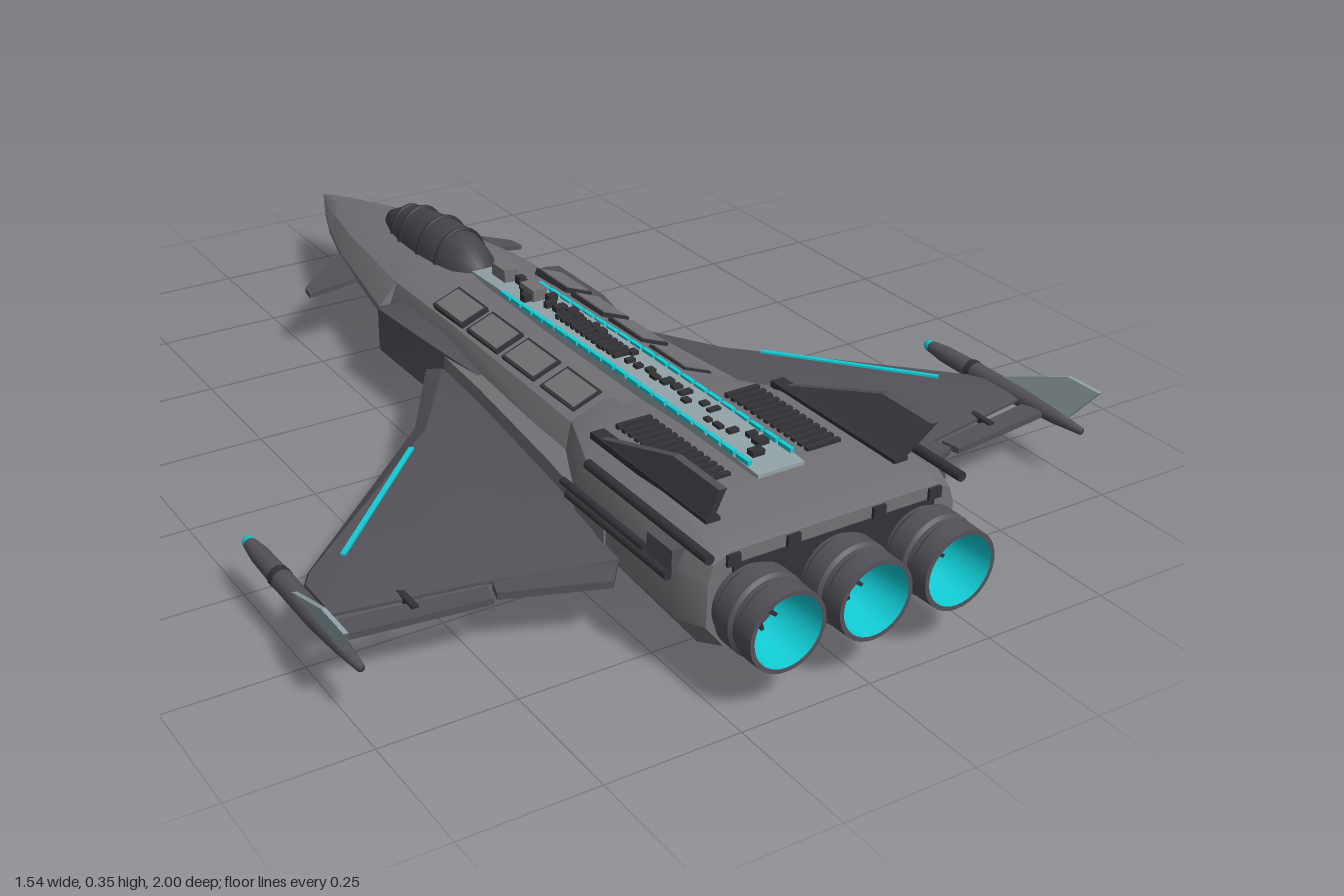
import * as THREE from 'three';
import { toCreasedNormals } from 'three/addons/utils/BufferGeometryUtils.js';

const V = (x, y, z) => new THREE.Vector3(x, y, z);

// Skin over closed rings of [x, y, z]; rings run anticlockwise seen from the far end
function loft(rings, crease = 0.45) {
  const n = rings[0].length, index = [], last = (rings.length - 1) * n;
  for (let i = 0; i < rings.length - 1; i++) {
    for (let j = 0; j < n; j++) {
      const a = i * n + j, b = i * n + (j + 1) % n;
      index.push(a, b, b + n, a, b + n, a + n);
    }
  }
  for (let j = 1; j < n - 1; j++) index.push(0, j + 1, j, last, last + j, last + j + 1);
  const g = new THREE.BufferGeometry();
  g.setAttribute('position', new THREE.Float32BufferAttribute(rings.flat(2), 3));
  g.setIndex(index);
  return toCreasedNormals(g, crease);
}

// Hull ring from half-profile: deck, shoulder, side, belly
function hullRing([z, tw, yt, sw, ys, w, hi, lo, bw, yb]) {
  const half = [[bw, yb], [w, lo], [w, hi], [sw, ys], [tw, yt]];
  return [...half, ...half.map(([x, y]) => [-x, y]).reverse()].map(([x, y]) => [x, y, z]);
}

const boxRing = ([z, x0, x1, y0, y1]) => [[x0, y0, z], [x1, y0, z], [x1, y1, z], [x0, y1, z]];

function extrude(points, depth) {
  const shape = new THREE.Shape(points.map(p => new THREE.Vector2(...p)));
  return new THREE.ExtrudeGeometry(shape, { depth, bevelEnabled: false });
}

// Upright plate from [z, y] points, leaning sideways with height
function finPlate(points, x, y0, lean, t) {
  const g = extrude(points.map(([z, y]) => [z, y - y0]), t);
  const m = new THREE.Matrix4().makeBasis(V(0, 0, 1), V(lean, 1, 0), V(-1, 0, 0));
  return g.applyMatrix4(m.setPosition(x + t / 2, y0, 0));
}

// Level plate from [x, z] points, sloping along its span
function flatPlate(points, y, slope, t) {
  const m = new THREE.Matrix4().makeBasis(V(1, slope, 0), V(0, 0, 1), V(0, -1, 0));
  return extrude(points, t).applyMatrix4(m.setPosition(0, y, 0));
}

const box = (w, h, d, x, y, z) => new THREE.BoxGeometry(w, h, d).translate(x, y, z);
const rod = (r, z0, z1, x, y) =>
  new THREE.CylinderGeometry(r, r, z1 - z0, 10).rotateX(Math.PI / 2).translate(x, y, (z0 + z1) / 2);
// Turned shape along z from [radius, z] points
const turned = (points, seg = 24) =>
  new THREE.LatheGeometry(points.map(p => new THREE.Vector2(...p)), seg).rotateX(Math.PI / 2);

// Copy on the other side, with the corner order restored
function mirrored(geo) {
  const g = geo.index ? geo.toNonIndexed() : geo.clone();
  g.scale(-1, 1, 1);
  for (const key of ['position', 'normal']) {
    const a = g.attributes[key], p = V(0, 0, 0), q = V(0, 0, 0);
    for (let i = 0; i < a.count; i += 3) {
      p.fromBufferAttribute(a, i); q.fromBufferAttribute(a, i + 2);
      a.setXYZ(i, q.x, q.y, q.z); a.setXYZ(i + 2, p.x, p.y, p.z);
    }
  }
  return g;
}

export function createModel() {
  const model = new THREE.Group();
  model.name = 'starfighter';
  const paint = (name, color, side = THREE.FrontSide) => {
    const m = new THREE.MeshStandardMaterial({ color, side });
    m.name = name;
    return m;
  };
  const hull = paint('hullGrey', 0x727074), wingGrey = paint('wingGrey', 0x545159);
  const glass = paint('canopyGrey', 0x47444b), pale = paint('paleGrey', 0x93a3a8);
  const dark = paint('darkGrey', 0x333236), glow = paint('cyanGlow', 0x10cdd6, THREE.DoubleSide);
  const add = (name, geo, mat) => {
    const m = new THREE.Mesh(geo, mat);
    m.name = name;
    model.add(m);
  };
  const pair = (name, geo, mat) => {
    add(name + 'Left', geo, mat);
    add(name + 'Right', mirrored(geo), mat);
  };

  // Fuselage and engine block
  add('fuselage', loft([
    [-1, 0.002, 0.157, 0.003, 0.156, 0.004, 0.155, 0.154, 0.002, 0.153],
    [-0.9, 0.02, 0.178, 0.038, 0.168, 0.046, 0.155, 0.148, 0.025, 0.127],
    [-0.8, 0.035, 0.195, 0.066, 0.183, 0.083, 0.158, 0.148, 0.045, 0.11],
    [-0.65, 0.05, 0.215, 0.1, 0.197, 0.125, 0.16, 0.148, 0.075, 0.1],
    [-0.36, 0.075, 0.237, 0.14, 0.21, 0.18, 0.165, 0.15, 0.12, 0.086],
    [-0.355, 0.075, 0.237, 0.14, 0.21, 0.158, 0.165, 0.15, 0.12, 0.086],
    [-0.1, 0.075, 0.25, 0.15, 0.22, 0.17, 0.165, 0.13, 0.14, 0.078],
    [0.4, 0.08, 0.255, 0.165, 0.222, 0.2, 0.17, 0.12, 0.17, 0.07],
  ].map(hullRing)), hull);
  add('engineBlock', loft([
    [0.36, 0.1, 0.252, 0.165, 0.225, 0.18, 0.18, 0.13, 0.16, 0.072],
    [0.52, 0.18, 0.262, 0.235, 0.245, 0.255, 0.2, 0.125, 0.2, 0.065],
    [0.84, 0.22, 0.262, 0.25, 0.245, 0.265, 0.21, 0.12, 0.225, 0.065],
    [0.89, 0.205, 0.25, 0.235, 0.235, 0.245, 0.205, 0.125, 0.21, 0.08],
  ].map(hullRing)), hull);

  // Intakes and fairings along the wing roots
  pair('intake', loft([
    [-0.33, 0.13, 0.198, 0.11, 0.18], [-0.3, 0.12, 0.21, 0.1, 0.19],
    [-0.12, 0.12, 0.205, 0.095, 0.195], [0.05, 0.12, 0.18, 0.1, 0.185],
  ].map(boxRing)), wingGrey);
  pair('intakeMouth', box(0.045, 0.05, 0.006, 0.168, 0.145, -0.331), dark);
  pair('rootFairing', loft([
    [-0.14, 0.12, 0.19, 0.1, 0.185], [0.1, 0.12, 0.205, 0.09, 0.185],
    [0.4, 0.12, 0.235, 0.085, 0.185], [0.62, 0.12, 0.262, 0.1, 0.18],
  ].map(boxRing)), hull);

  // Main wings: [span x, leading z, trailing z, centre y, half thickness]
  pair('wing', loft([
    [0.14, -0.2, 0.7, 0.137, 0.022], [0.2, -0.12, 0.68, 0.135, 0.021],
    [0.33, 0.08, 0.645, 0.128, 0.02], [0.48, 0.215, 0.595, 0.122, 0.0155],
    [0.7, 0.41, 0.545, 0.112, 0.009], [0.72, 0.44, 0.54, 0.111, 0.007],
  ].map(([x, l, t, y, h]) => {
    const c = t - l, a = l + 0.08 * c, b = l + 0.8 * c;
    return [[x, y, l], [x, y + h, a], [x, y + h, b], [x, y + 0.003, t],
      [x, y - 0.003, t], [x, y - h, b], [x, y - h, a]];
  })), wingGrey);
  pair('wingStripe', flatPlate(
    [[0.381, 0.177], [0.388, 0.17], [0.638, 0.407], [0.632, 0.414]], 0.1755, -0.071, 0.007), glow);
  pair('outerFlap', flatPlate(
    [[0.475, 0.607], [0.715, 0.557], [0.732, 0.6], [0.482, 0.645]], 0.145, -0.045, 0.012), wingGrey);
  pair('innerFlap', flatPlate(
    [[0.265, 0.668], [0.462, 0.602], [0.472, 0.635], [0.3, 0.712]], 0.148, -0.05, 0.014), wingGrey);
  pair('flapHinge', box(0.012, 0.012, 0.06, 0.6, 0.117, 0.57), dark);

  // Wingtip pods and winglets
  pair('tipPod', turned([[0.012, 0.27], [0.017, 0.31], [0.019, 0.4], [0.019, 0.53],
    [0.014, 0.62], [0.007, 0.69], [0, 0.69]].reverse(), 14).scale(-1, -1, 1).translate(0.74, 0.108, 0), wingGrey);
  pair('tipLight', new THREE.SphereGeometry(0.012, 12, 8).scale(1, 1, 1.7).translate(0.74, 0.108, 0.27), glow);
  pair('podBand', rod(0.0205, 0.385, 0.4, 0.74, 0.108), dark);
  pair('winglet', finPlate([[0.45, 0.118], [0.65, 0.118], [0.7, 0.185], [0.62, 0.185]],
    0.746, 0.118, 0.3, 0.008), pale);

  // Canards, tail fins, ventral fin
  pair('canard', flatPlate([[0.11, -0.67], [0.15, -0.655], [0.25, -0.568], [0.255, -0.535], [0.11, -0.535]],
    0.168, -0.1, 0.01), wingGrey);
  pair('tailFin', finPlate([[0.47, 0.255], [0.81, 0.255], [0.87, 0.352], [0.745, 0.352]],
    0.19, 0.255, 0.19, 0.014), wingGrey);
  pair('tailFinFoot', box(0.028, 0.012, 0.34, 0.188, 0.263, 0.65), dark);
  add('ventralFin', finPlate([[0.56, 0.075], [0.73, 0], [0.845, 0], [0.82, 0.075]], 0, 0.075, 0, 0.012), wingGrey);
  add('chinSensor', box(0.03, 0.012, 0.2, 0, 0.107, -0.76), dark);

  // Canopy with frame hoops
  const canopy = [[0, -0.68], [0.018, -0.65], [0.038, -0.59], [0.053, -0.52], [0.062, -0.43],
    [0.062, -0.35], [0.053, -0.29], [0.03, -0.255], [0, -0.245]];
  add('canopy', turned(canopy).scale(1, 1.4, 1).translate(0, 0.215, 0), glass);
  model.children.at(-1).material.side = THREE.DoubleSide;
  for (const [r, z] of [[0.043, -0.57], [0.054, -0.515], [0.062, -0.42], [0.0615, -0.345]]) {
    add('canopyFrame', new THREE.TorusGeometry(r, 0.004, 6, 28).scale(1, 1.4, 1.3).translate(0, 0.215, z), dark);
  }

  // Dorsal spine with light strips and machinery
  add('spine', loft([[-0.27, 0.02, 0.245], [-0.15, 0.036, 0.262], [0.1, 0.045, 0.272],
    [0.56, 0.047, 0.276], [0.745, 0.047, 0.269]].map(([z, w, y]) => boxRing([z, -w, w, 0.22, y]))), pale);
  for (let i = 0; i < 20; i++) {
    const z = -0.08 + i * 0.041, y = 0.266 + 0.01 * Math.min(1, Math.max(0, (z + 0.1) / 0.4));
    pair('spineLight', box(0.008, 0.008, 0.034, 0.043, y, z), glow);
  }
  let seed = 7;
  const rand = () => (seed = (seed * 16807) % 2147483647) / 2147483647;
  for (let i = 0; i < 34; i++) {
    const z = -0.17 + i * 0.026;
    add('spineUnit', box(0.01 + rand() * 0.016, 0.016, 0.01 + rand() * 0.01, (rand() - 0.5) * 0.045, 0.273, z), dark);
  }
  for (let i = 0; i < 12; i++) add('spineVent', box(0.042, 0.012, 0.01, 0, 0.274, 0.07 + i * 0.018), dark);
  for (const z of [-0.16, -0.05]) add('spineSensor', box(0.03, 0.025, 0.05, 0, 0.278, z), hull);

  // Deck louvres and shoulder panels
  for (let i = 0; i < 13; i++) pair('louvre', box(0.07, 0.012, 0.01, 0.113, 0.262, 0.48 + i * 0.019), dark);
  for (const z of [-0.13, 0.005, 0.14, 0.28]) {
    const panel = (w, h, d) => new THREE.BoxGeometry(w, h, d).rotateZ(-0.37).translate(0.116, 0.237, z);
    pair('panelRim', panel(0.064, 0.013, 0.115), dark);
    pair('panel', panel(0.053, 0.017, 0.102), hull);
  }

  // Rails and boxes on the engine block
  pair('upperRail', rod(0.009, 0.55, 0.9, 0.25, 0.255), dark);
  pair('sideRail', rod(0.008, 0.52, 0.82, 0.27, 0.19), dark);
  pair('lowerRail', rod(0.007, 0.5, 0.75, 0.268, 0.205), dark);
  pair('sideBox', box(0.03, 0.04, 0.07, 0.26, 0.225, 0.8), wingGrey);
  for (const x of [0.085, 0.2]) pair('rearBox', box(0.025, 0.02, 0.012, x, 0.237, 0.89), dark);
  add('rearPlate', box(0.4, 0.13, 0.006, 0, 0.162, 0.891), dark);

  // Three engines: banded shell, glowing bell, fan
  for (const x of [-0.17, 0, 0.17]) {
    const shell = turned([[0.064, 1], [0.072, 1], [0.073, 0.965], [0.069, 0.96], [0.069, 0.95],
      [0.075, 0.945], [0.075, 0.91], [0.066, 0.9], [0.066, 0.84]], 32);
    add('engineShell', toCreasedNormals(shell, 0.5).translate(x, 0.155, 0), wingGrey);
    model.children.at(-1).material.side = THREE.DoubleSide;
    add('engineBell', turned([[0.066, 1.0], [0.06, 0.95], [0.05, 0.905]], 32).translate(x, 0.155, 0), glow);
    add('fanDisc', rod(0.052, 0.896, 0.906, 0, 0).translate(x, 0.155, 0), wingGrey);
    add('fanHub', turned([[0, 0.93], [0.012, 0.925], [0.018, 0.9]], 16).translate(x, 0.155, 0), glass);
    for (let i = 0; i < 10; i++) {
      const blade = new THREE.BoxGeometry(0.04, 0.006, 0.012).translate(0.034, 0, 0.91);
      add('fanBlade', blade.rotateZ(i * Math.PI / 5).translate(x, 0.155, 0), dark);
    }
  }
  return model;
}
